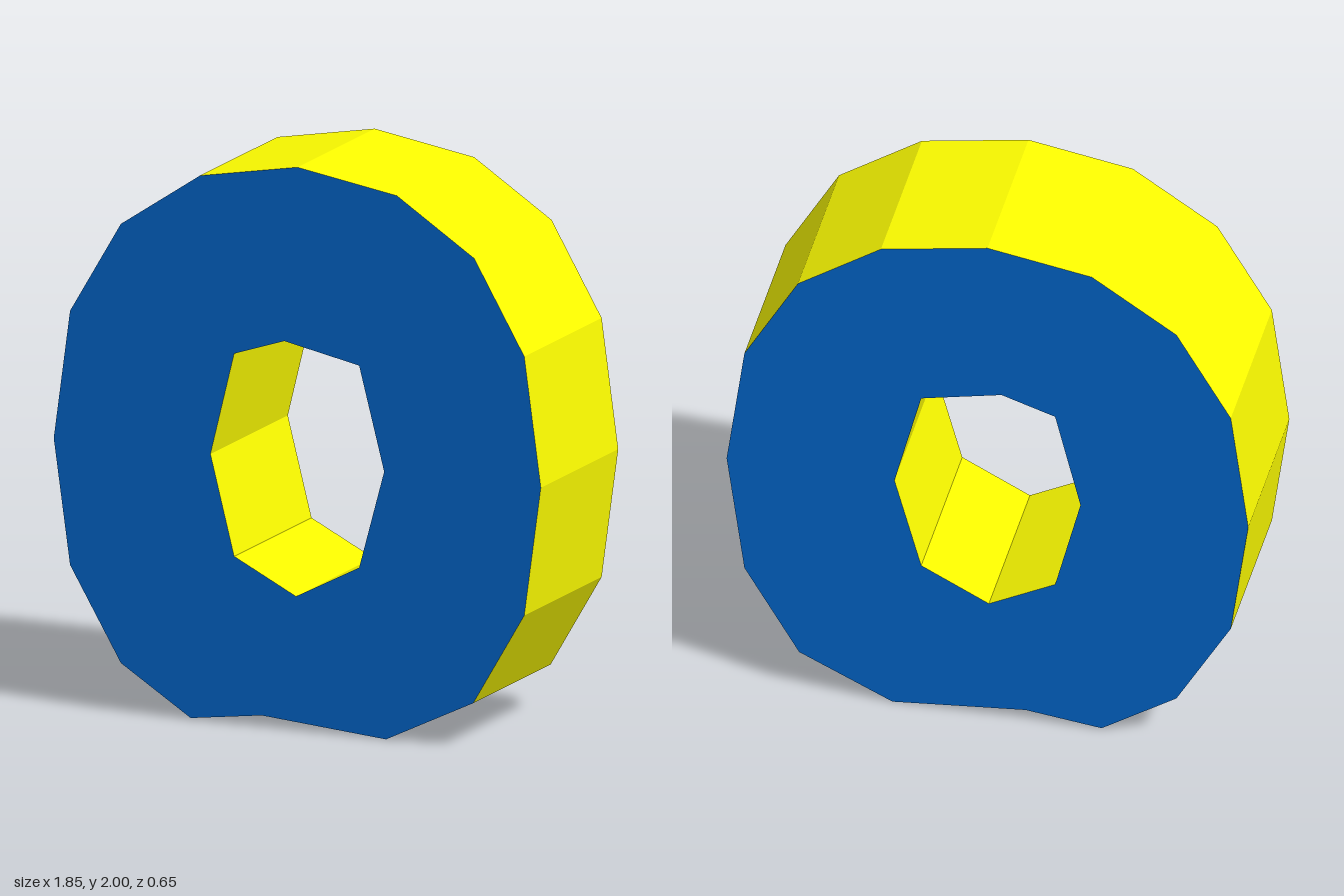
import * as THREE from 'three';

const DEPTH = 0.65;

const toPoints = (pairs) => pairs.map(([x, y]) => new THREE.Vector2(x, y));

export function createModel() {
  const group = new THREE.Group();
  group.name = 'facetedRing';

  // Outer rim, clockwise from the top, with a shallow notch at the bottom
  const outline = new THREE.Shape(toPoints([
    [0, 2], [0.378, 1.935], [0.672, 1.74], [0.862, 1.41],
    [0.925, 0.95], [0.862, 0.49], [0.668, 0.16], [0.337, 0],
    [-0.135, 0.04], [-0.405, 0.005], [-0.67, 0.175], [-0.863, 0.505],
    [-0.925, 0.95], [-0.863, 1.408], [-0.67, 1.735], [-0.37, 1.935],
  ]));

  // Eight-sided opening, counter-clockwise so its walls face inward
  outline.holes.push(new THREE.Path(toPoints([
    [-0.05, 1.378], [-0.24, 1.315], [-0.33, 0.95], [-0.24, 0.595],
    [-0.005, 0.475], [0.235, 0.6], [0.33, 0.95], [0.235, 1.318],
  ])));

  const geometry = new THREE.ExtrudeGeometry(outline, { depth: DEPTH, bevelEnabled: false });
  geometry.translate(0, 0, -DEPTH / 2);

  // Blue front and back faces, yellow rim and opening walls
  const faceMaterial = new THREE.MeshStandardMaterial({ color: 0x0066cc, flatShading: true });
  const wallMaterial = new THREE.MeshStandardMaterial({ color: 0xffff00, flatShading: true });

  const ring = new THREE.Mesh(geometry, [faceMaterial, wallMaterial]);
  ring.name = 'ring';
  group.add(ring);
  return group;
}
